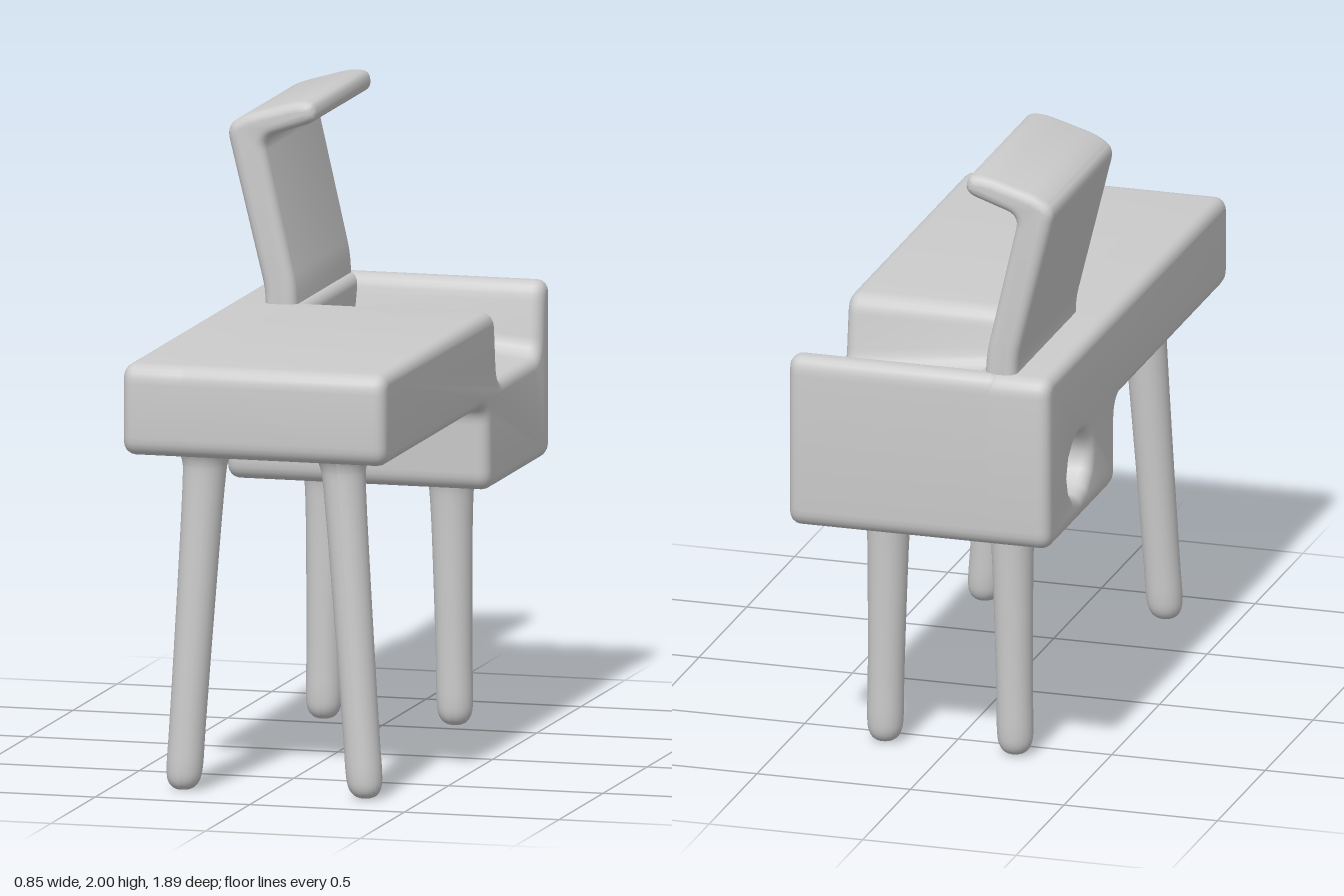
import * as THREE from 'three';
import { toCreasedNormals } from 'three/addons/utils/BufferGeometryUtils.js';

const material = new THREE.MeshStandardMaterial({ color: 0xcccccc });

// Closed outline with every corner rounded
function roundedShape(points, radius) {
  const shape = new THREE.Shape();
  const p = points.map(([x, y]) => new THREE.Vector2(x, y));
  p.forEach((corner, i) => {
    const prev = p[(i + p.length - 1) % p.length], next = p[(i + 1) % p.length];
    const toward = (q) => corner.clone().lerp(q, Math.min(0.45, radius / corner.distanceTo(q)));
    const a = toward(prev), b = toward(next);
    if (i === 0) shape.moveTo(a.x, a.y); else shape.lineTo(a.x, a.y);
    shape.quadraticCurveTo(corner.x, corner.y, b.x, b.y);
  });
  shape.closePath();
  return shape;
}

// Soft-edged extrusion from 0 to the given length along z
function softExtrude(shape, length, bevel) {
  const geometry = new THREE.ExtrudeGeometry(shape, {
    depth: length - 2 * bevel, bevelThickness: bevel, bevelSize: bevel,
    bevelOffset: -bevel, bevelSegments: 4, curveSegments: 6,
  });
  return geometry.translate(0, 0, bevel);
}

// Extrusion of a side profile (-z, y) across the width from x0 to x1
function acrossWidth(shape, x0, x1) {
  return softExtrude(shape, x1 - x0, 0.035).rotateY(Math.PI / 2).translate(x0, 0, 0);
}

// Tapered leg with a flared top and round foot, sheared from top to bottom
function leg(top, bottom) {
  const h = top[1] + 0.04;
  const profile = [[0, 0], [0.03, 0.006], [0.05, 0.03], [0.057, 0.08], [0.057, 0.2], [0.06, h * 0.5],
    [0.066, h - 0.16], [0.075, h - 0.07], [0.1, h - 0.035], [0.13, h]];
  const curve = new THREE.SplineCurve(profile.map(([r, y]) => new THREE.Vector2(r, y)));
  const points = curve.getPoints(36).map((q) => new THREE.Vector2(Math.max(0, q.x), q.y));
  const geometry = new THREE.LatheGeometry(points, 20);
  const pos = geometry.attributes.position;
  for (let i = 0; i < pos.count; i++) {
    const t = pos.getY(i) / h;
    pos.setX(i, pos.getX(i) + THREE.MathUtils.lerp(bottom[0], top[0], t));
    pos.setZ(i, pos.getZ(i) + THREE.MathUtils.lerp(bottom[1], top[2], t));
  }
  geometry.computeVertexNormals();
  return geometry;
}

export function createModel() {
  const model = new THREE.Group();
  const add = (name, geometry) => {
    const mesh = new THREE.Mesh(geometry, material);
    mesh.name = name;
    model.add(mesh);
  };

  // Long table stepping down into a seat tray with a raised rear wall
  const body = acrossWidth(roundedShape([
    [-0.95, 1.07], [0.23, 1.07], [0.23, 0.8], [0.94, 0.8], [0.94, 1.36],
    [0.85, 1.36], [0.82, 1.13], [0.35, 1.13], [0.32, 1.36], [-0.95, 1.36],
  ], 0.06), -0.27, 0.42);
  // Seat surface rises toward the upright panel
  const pos = body.attributes.position;
  for (let i = 0; i < pos.count; i++) {
    const y = pos.getY(i), z = pos.getZ(i);
    if (pos.getX(i) < 0 && y > 1.09 && y < 1.2 && z < -0.3 && z > -0.84) pos.setY(i, y + 0.07);
  }
  body.computeVertexNormals();
  add('tableAndSeat', toCreasedNormals(body, 0.7));

  // Closed side wall with a round recess
  const wall = roundedShape([
    [-0.95, 1.07], [0.23, 1.07], [0.23, 0.8], [0.94, 0.8], [0.94, 1.36], [-0.95, 1.36],
  ], 0.06);
  const recess = new THREE.Path();
  recess.absellipse(0.6, 0.98, 0.12, 0.1, 0, Math.PI * 2, true);
  wall.holes.push(recess);
  add('sideWall', toCreasedNormals(acrossWidth(wall, -0.43, -0.18), 0.7));

  // Leaning upright panel with a folded top lip
  const panel = roundedShape([
    [-0.31, 1.2], [-0.2, 1.2], [-0.21, 1.42], [-0.315, 1.88], [-0.14, 1.94],
    [-0.15, 2.0], [-0.21, 2.0], [-0.38, 1.95], [-0.435, 1.91], [-0.31, 1.4],
  ], 0.04);
  add('uprightPanel', toCreasedNormals(softExtrude(panel, 0.66, 0.03).translate(0, 0, -0.9), 0.7));

  // Legs: top [x, y, z], foot [x, z]
  add('frontRightLeg', leg([-0.215, 1.07, 0.73], [-0.275, 0.79]));
  add('frontLeftLeg', leg([0.22, 1.07, 0.73], [0.315, 0.79]));
  add('rearRightLeg', leg([-0.2, 0.8, -0.58], [-0.21, -0.575]));
  add('rearLeftLeg', leg([0.2, 0.8, -0.58], [0.215, -0.575]));

  return model;
}
